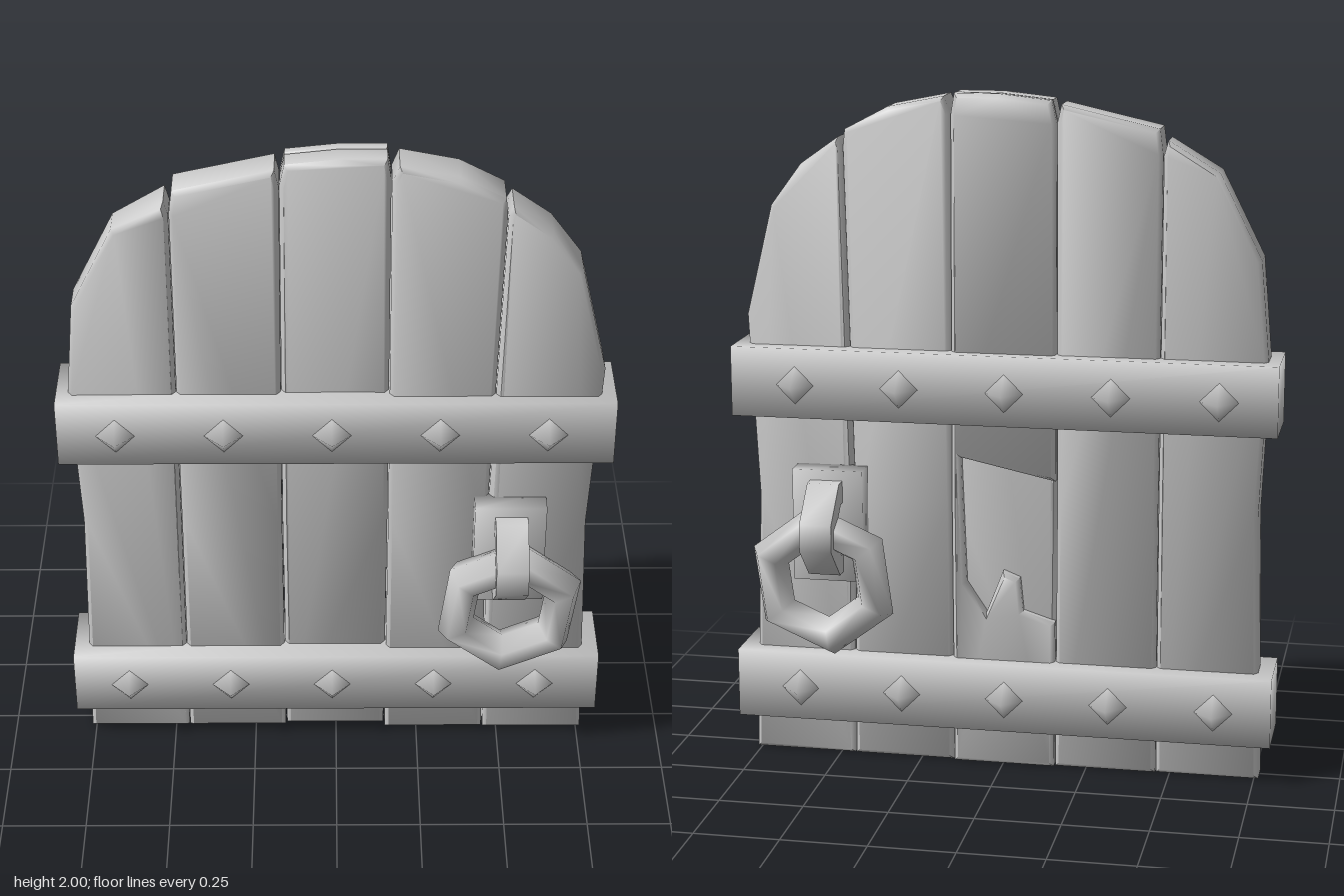
import * as THREE from 'three';
import { mergeVertices, toCreasedNormals } from 'three/addons/utils/BufferGeometryUtils.js';

const material = new THREE.MeshStandardMaterial({ color: 0xcccccc, roughness: 0.9 });

function add(parent, name, geometry, x = 0, y = 0, z = 0) {
  const mesh = new THREE.Mesh(geometry, material);
  mesh.name = name;
  mesh.position.set(x, y, z);
  parent.add(mesh);
  return mesh;
}

// Share corner normals so hard blocks get a soft, worn look
function soften(geometry) {
  geometry.deleteAttribute('normal');
  geometry.deleteAttribute('uv');
  const merged = mergeVertices(geometry);
  merged.computeVertexNormals();
  return merged;
}

// Bevelled board from an outline; settles towards z = 0 at its foot
function board(points, back, front) {
  const bevel = 0.016;
  const geometry = new THREE.ExtrudeGeometry(
    new THREE.Shape(points.map(([x, y]) => new THREE.Vector2(x, y))),
    { depth: front - back - 2 * bevel, bevelSize: 0.012, bevelOffset: -0.012, bevelThickness: bevel, bevelSegments: 1 }
  );
  geometry.translate(0, 0, back + bevel);
  const position = geometry.attributes.position;
  for (let i = 0; i < position.count; i++) {
    const grow = Math.min(1, position.getY(i) / 1.2);
    position.setZ(i, position.getZ(i) * (0.88 + 0.12 * grow));
  }
  return toCreasedNormals(geometry, 1.0);
}

export function createModel() {
  const door = new THREE.Group();
  door.name = 'archedDoor';

  // Planks: outline, back z, front z
  const planks = [
    [[[-0.763, 0], [-0.459, 0], [-0.457, 0.8], [-0.458, 1.835], [-0.47, 1.878], [-0.617, 1.79],
      [-0.74, 1.545], [-0.765, 1.257], [-0.745, 0.8]], -0.062, 0.06],
    [[[-0.457, 0], [-0.157, 0], [-0.16, 0.8], [-0.155, 1.92], [-0.167, 1.973], [-0.447, 1.91],
      [-0.456, 1.84], [-0.455, 0.8]], -0.066, 0.06],
    [[[-0.153, 0], [0.148, 0], [0.152, 0.8], [0.15, 1.94], [0.14, 2], [0.01, 2],
      [-0.14, 1.984], [-0.154, 1.92], [-0.158, 0.8]], -0.04, 0.05],
    [[[0.152, 0], [0.454, 0], [0.445, 0.8], [0.468, 1.84], [0.463, 1.89], [0.336, 1.957],
      [0.172, 1.99], [0.152, 1.94], [0.154, 0.8]], -0.062, 0.072],
    [[[0.458, 0], [0.763, 0], [0.737, 0.8], [0.763, 1.342], [0.685, 1.666], [0.595, 1.788],
      [0.484, 1.867], [0.47, 1.84], [0.447, 0.8]], -0.06, 0.075],
  ];
  planks.forEach(([points, back, front], i) => add(door, `plank${i + 1}`, board(points, back, front)));

  // Splintered rear layer of the middle plank, with a piece broken out
  add(door, 'splinteredBack', board([
    [-0.153, 0], [0.148, 0], [0.152, 0.8], [0.15, 1.94], [0.14, 2], [0.01, 2], [-0.14, 1.984], [-0.154, 1.92],
    [-0.156, 0.88], [0.125, 0.94], [0.11, 0.56], [0.05, 0.47], [0, 0.6], [-0.05, 0.58], [-0.06, 0.48], [-0.155, 0.45],
  ], -0.074, -0.02));

  // Cross bands with pointed studs on both faces
  for (const [name, y] of [['lowerBand', 0.224], ['upperBand', 1.152]]) {
    const band = new THREE.Group();
    band.name = name;
    door.add(band);
    add(band, 'bar', soften(new THREE.BoxGeometry(1.6, 0.207, 0.218)), 0, y, 0);
    for (let i = 0; i < 5; i++) {
      for (const side of [1, -1]) {
        add(band, 'stud', soften(new THREE.OctahedronGeometry(0.056)), -0.632 + i * 0.31, y - 0.005, side * 0.109);
      }
    }
  }

  // Ring handles, one on each face
  const strap = new THREE.Shape([
    [0.08, 0.87], [0.17, 0.87], [0.27, 0.77], [0.27, 0.69], [0.17, 0.595], [0.08, 0.595],
    [0.08, 0.65], [0.15, 0.65], [0.205, 0.71], [0.205, 0.75], [0.15, 0.805], [0.08, 0.805],
  ].map(([z, y]) => new THREE.Vector2(z, y)));
  for (const side of [1, -1]) {
    const handle = new THREE.Group();
    handle.name = side > 0 ? 'frontHandle' : 'backHandle';
    door.add(handle);
    add(handle, 'plate', soften(new THREE.BoxGeometry(0.21, 0.335, 0.08)), 0.51, 0.733, side * 0.09);

    // The strap profile lies in the z-y plane and is swept across x
    const strapGeometry = new THREE.ExtrudeGeometry(strap, { depth: 0.095, bevelEnabled: false });
    strapGeometry.translate(0, 0, -0.0475);
    strapGeometry.rotateY(-side * Math.PI / 2);
    add(handle, 'strap', toCreasedNormals(strapGeometry, 0.9), 0.512);

    const ring = add(handle, 'ring', new THREE.TorusGeometry(0.172, 0.058, 6, 6), 0.512, 0.583, side * 0.182);
    ring.rotation.z = THREE.MathUtils.degToRad(-37);
    ring.scale.set(0.97, 1, 1.2);
  }

  return door;
}
